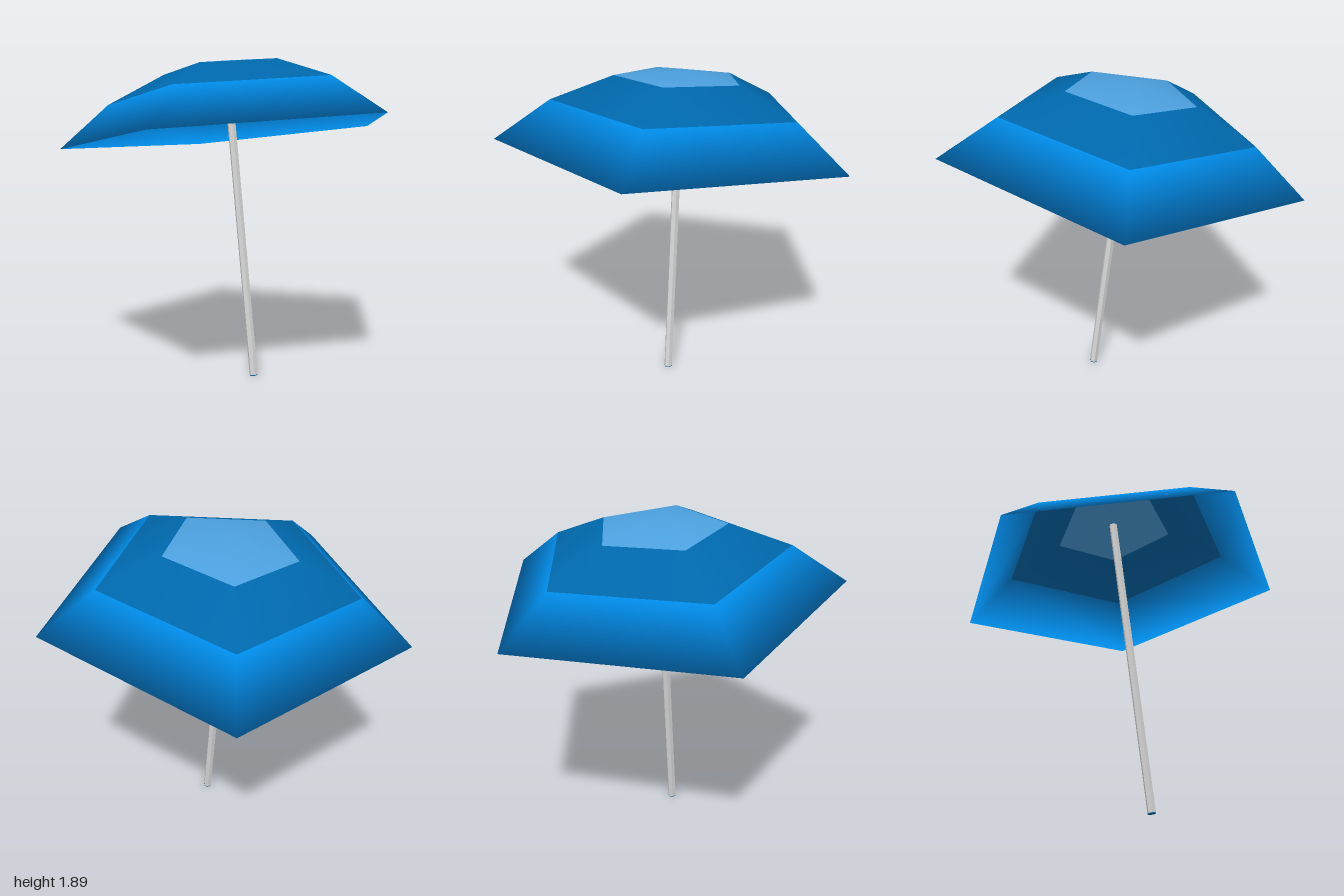
import * as THREE from 'three';

const SIDES = 5;
const TURN = 0.098; // heading of the first canopy corner

// Canopy rings along the pole axis, from rim to apex: radius, height and
// profile normal (outward, up); the cloth curls under at the rim
const RINGS = [
  { r: 1.058, y: 1.471, n: [0.65, -0.76] },
  { r: 0.737, y: 1.709, n: [0.5, 0.87] },
  { r: 0.38, y: 1.857, n: [0.26, 0.97] },
  { r: 0.001, y: 1.905, n: [0, 1] },
];

// Five-sided band between ring j and the next one up
function band(j) {
  const pos = [], nor = [], index = [];
  for (const { r, y, n } of [RINGS[j], RINGS[j + 1]]) {
    for (let i = 0; i < SIDES; i++) {
      const t = TURN + (i / SIDES) * Math.PI * 2;
      const s = Math.sin(t), c = Math.cos(t);
      pos.push(r * s, y, r * c);
      nor.push(n[0] * s, n[1], n[0] * c);
    }
  }
  for (let i = 0; i < SIDES; i++) {
    const a = i, b = (i + 1) % SIDES, c = a + SIDES, d = b + SIDES;
    index.push(a, b, d, a, d, c);
  }
  const g = new THREE.BufferGeometry();
  g.setAttribute('position', new THREE.Float32BufferAttribute(pos, 3));
  g.setAttribute('normal', new THREE.Float32BufferAttribute(nor, 3));
  g.setIndex(index);
  return g;
}

function material(name, color, side = THREE.DoubleSide) {
  const m = new THREE.MeshStandardMaterial({ color, side });
  m.name = name;
  return m;
}

export function createModel() {
  const brightBlue = material('brightBlue', 0x008be8);
  const deepBlue = material('deepBlue', 0x0068ac);
  const paleBlue = material('paleBlue', 0x4ca0de);
  const grey = material('poleGrey', 0xd6d6d6, THREE.FrontSide);

  const model = new THREE.Group();
  model.name = 'parasol';

  // Everything shares one axis, leaning backwards from the foot
  const parasol = new THREE.Group();
  parasol.name = 'leaningParasol';
  parasol.position.set(-0.033, 0.003, 0.11);
  parasol.rotation.x = -0.125;
  model.add(parasol);

  const add = (name, geometry, mat) => {
    const mesh = new THREE.Mesh(geometry, mat);
    mesh.name = name;
    parasol.add(mesh);
    return mesh;
  };

  // Canopy: one thin sheet in three bands of colour
  add('canopyValance', band(0), brightBlue);
  add('canopyMiddle', band(1), deepBlue);
  add('canopyCrown', band(2), paleBlue);

  // Six-sided pole with a blue foot
  const length = 1.895;
  const poleGeometry = new THREE.CylinderGeometry(0.025, 0.025, length, 6, 1, false, Math.PI / 6).toNonIndexed();
  poleGeometry.computeVertexNormals();
  add('pole', poleGeometry, grey).position.y = length / 2;
  const footGeometry = new THREE.CylinderGeometry(0.0251, 0.0251, 0.004, 6, 1, false, Math.PI / 6);
  add('poleFoot', footGeometry, deepBlue).position.y = 0.0015;

  return model;
}
